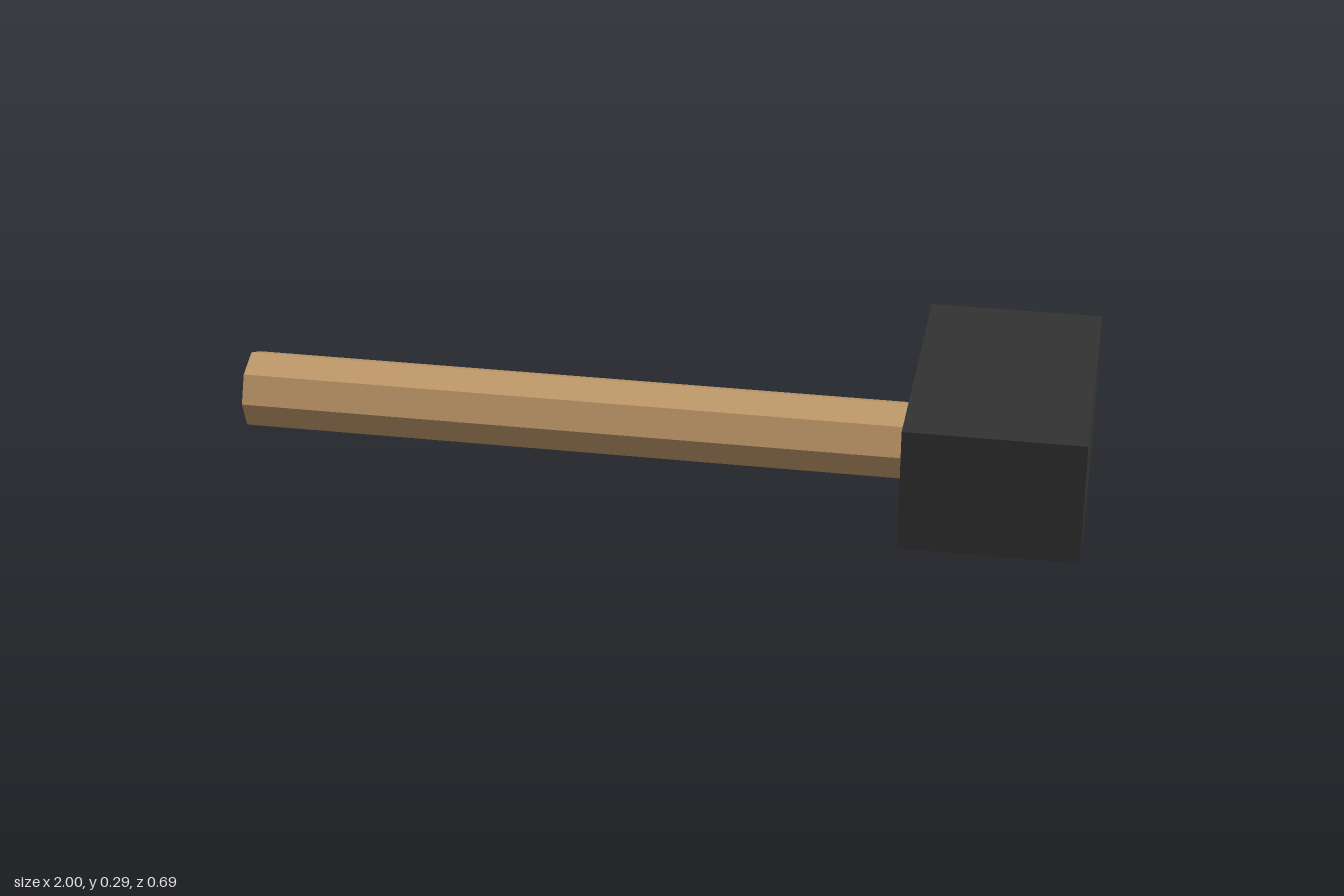
import * as THREE from 'three';

export function createModel() {
  const wood = new THREE.MeshStandardMaterial({ color: 0xc19a6b, flatShading: true });
  wood.name = 'wood';
  const iron = new THREE.MeshStandardMaterial({ color: 0x333333, flatShading: true });
  iron.name = 'darkIron';

  const model = new THREE.Group();
  model.name = 'hammer';

  // Octagonal handle lying along x, with a ridge on top
  const radius = 0.094, start = -1, end = 0.6;
  const handle = new THREE.Mesh(
    new THREE.CylinderGeometry(radius, radius, end - start, 8).rotateZ(Math.PI / 2), wood);
  handle.name = 'handle';
  handle.position.set((start + end) / 2, radius + 0.001, 0);
  model.add(handle);

  // Block head across the handle's end
  const head = new THREE.Mesh(new THREE.BoxGeometry(0.405, 0.29, 0.695), iron);
  head.name = 'head';
  head.position.set(1 - 0.405 / 2, 0.145, 0);
  model.add(head);

  return model;
}
